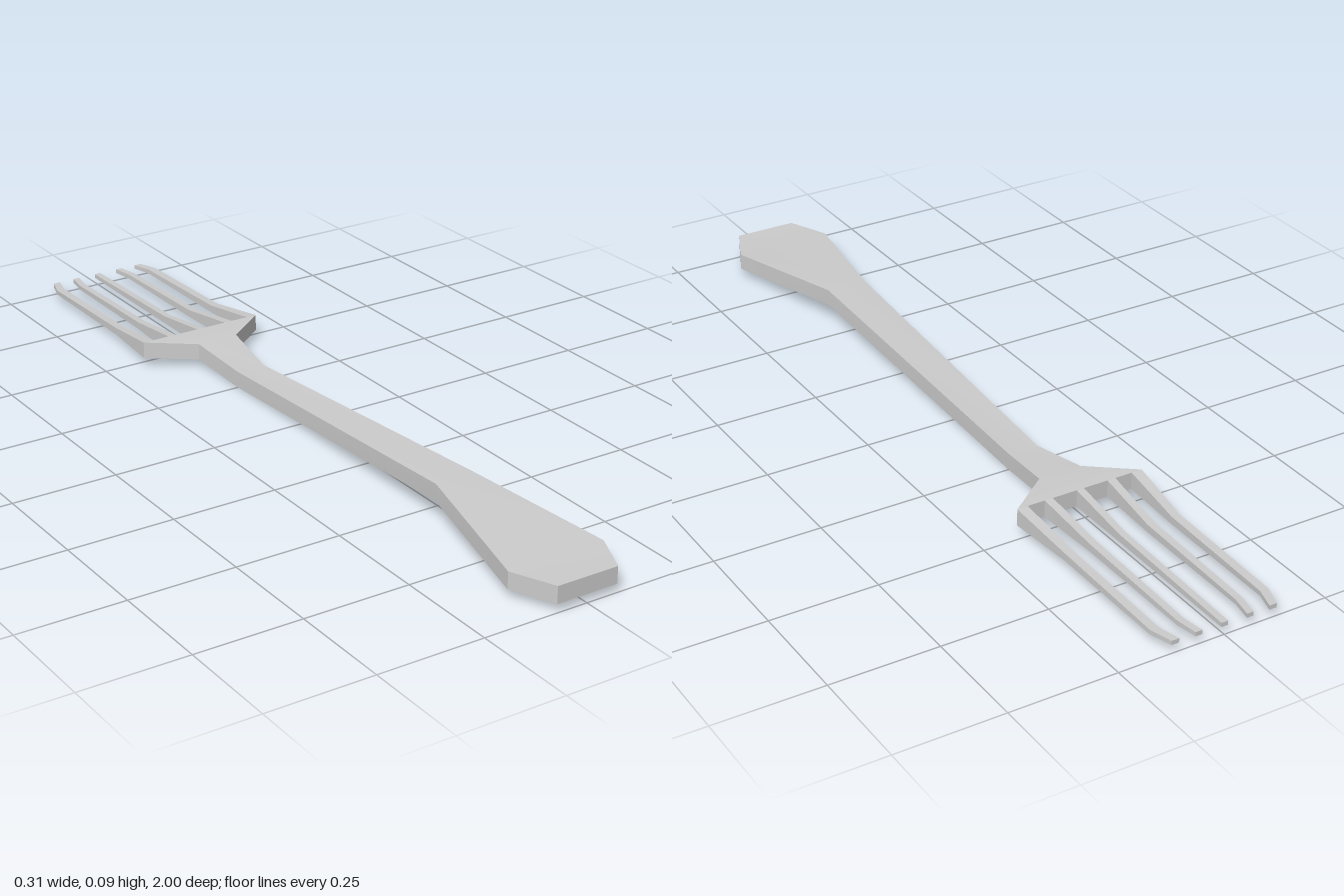
import * as THREE from 'three';
import { toCreasedNormals } from 'three/addons/utils/BufferGeometryUtils.js';

const material = new THREE.MeshStandardMaterial({ color: 0xcccccc });

// Lofts rectangular sections [z, left x, right x, bottom y, top y], running from front to back
function loft(name, sections) {
  const positions = [];
  const index = [];
  for (const [z, x0, x1, y0, y1] of sections) {
    positions.push(x0, y0, z, x1, y0, z, x1, y1, z, x0, y1, z);
  }
  for (let i = 0; i < sections.length - 1; i++) {
    for (let j = 0; j < 4; j++) {
      const a = i * 4 + j, b = i * 4 + (j + 1) % 4;
      index.push(a, a + 4, b + 4, a, b + 4, b);
    }
  }
  const e = (sections.length - 1) * 4;
  index.push(0, 1, 2, 0, 2, 3, e, e + 2, e + 1, e, e + 3, e + 2);
  const geometry = new THREE.BufferGeometry();
  geometry.setAttribute('position', new THREE.Float32BufferAttribute(positions, 3));
  geometry.setIndex(index);
  const mesh = new THREE.Mesh(toCreasedNormals(geometry, 0.6), material);
  mesh.name = name;
  return mesh;
}

export function createModel() {
  const fork = new THREE.Group();
  fork.name = 'fork';

  // Handle, neck and shoulder: z, half width, bottom y (constant thickness)
  const body = [
    [1, 0.075, 0.02],
    [0.9, 0.12, 0.02],
    [0.56, 0.05, 0.05],
    [-0.25, 0.036, 0],
    [-0.4, 0.052, 0.02],
    [-0.48, 0.157, 0.02],
  ];
  fork.add(loft('handle', body.map(([z, w, y]) => [z, -w, w, y, y + 0.04])));

  // Tines: centre x and half width at each station, thinning towards the tips
  const stations = [[-0.48, 0.06], [-0.64, 0.038], [-0.95, 0.031], [-1, 0.03]];
  const tines = {
    middleTine: [[0, 0.009], [0, 0.008], [0, 0.008], [0, 0.008]],
    innerTine: [[0.079, 0.01], [0.072, 0.009], [0.071, 0.008], [0.062, 0.008]],
    outerTine: [[0.144, 0.013], [0.134, 0.01], [0.133, 0.01], [0.118, 0.009]],
  };
  for (const [name, path] of Object.entries(tines)) {
    for (const side of name === 'middleTine' ? [1] : [1, -1]) {
      const label = name === 'middleTine' ? name : name + (side > 0 ? 'Left' : 'Right');
      fork.add(loft(label, path.map(([x, w], i) =>
        [stations[i][0], side * x - w, side * x + w, 0.02, stations[i][1]])));
    }
  }
  return fork;
}
